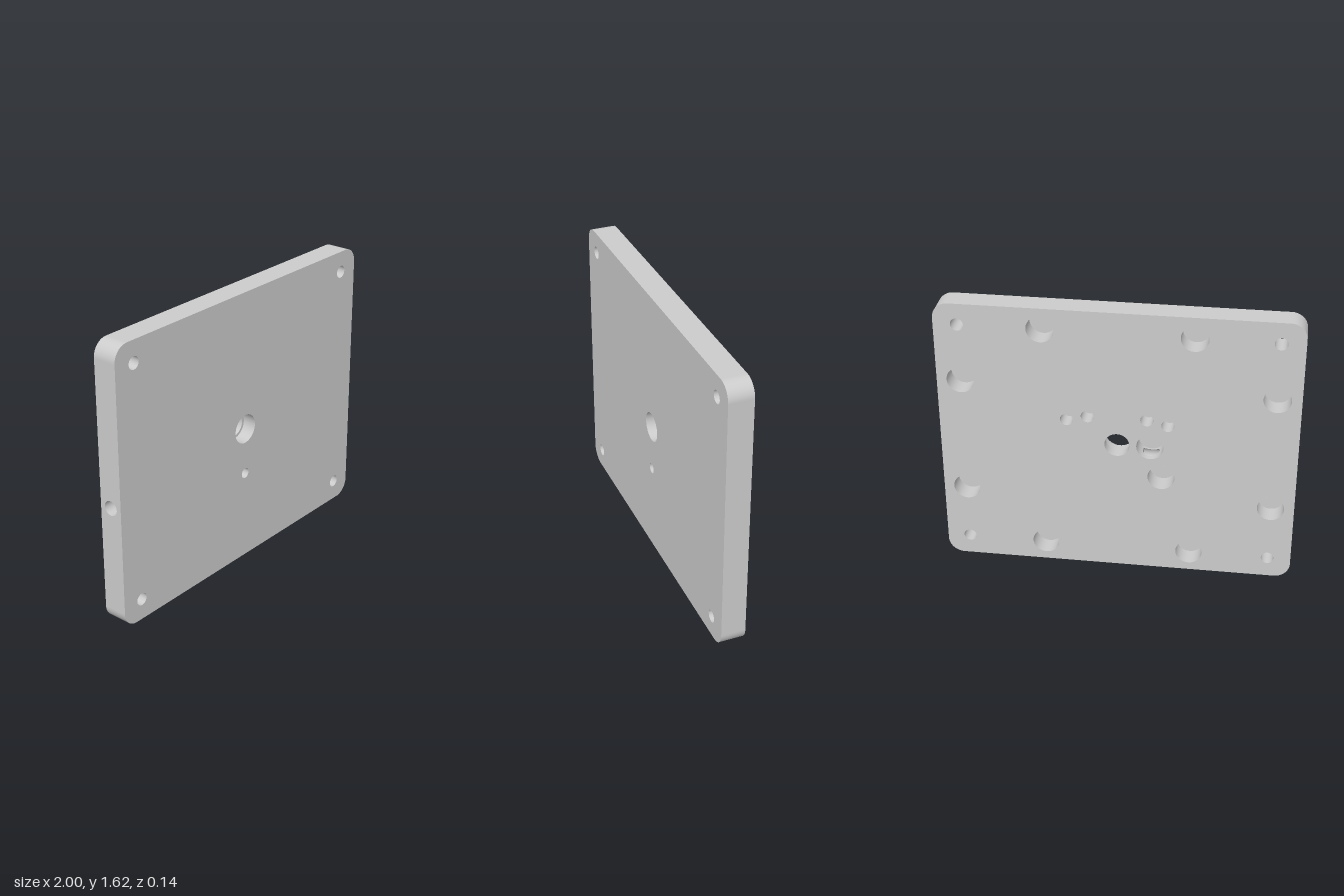
import * as THREE from 'three';

const W = 1, H = 1.615, MID = H / 2, T = 0.07, CORNER = 0.09, SEG = 64;
const material = new THREE.MeshStandardMaterial({ color: 0xcccccc, side: THREE.DoubleSide });

// Ruled surface between two curves, each a function of t in 0..1
function strip(a, b, n = SEG) {
  const pos = [], index = [];
  for (let i = 0; i <= n; i++) {
    pos.push(...a(i / n), ...b(i / n));
    if (i < n) {
      const k = i * 2;
      index.push(k, k + 2, k + 1, k + 1, k + 2, k + 3);
    }
  }
  const g = new THREE.BufferGeometry();
  g.setAttribute('position', new THREE.Float32BufferAttribute(pos, 3));
  g.setIndex(index);
  g.computeVertexNormals();
  return g;
}

function circlePath(x, y, r) {
  return new THREE.Path().absarc(x, y, r, 0, Math.PI * 2, false);
}

// Rounded plate outline with round openings
function plateFace(holes, flip) {
  const s = new THREE.Shape();
  s.absarc(W - CORNER, CORNER, CORNER, -Math.PI / 2, 0);
  s.absarc(W - CORNER, H - CORNER, CORNER, 0, Math.PI / 2);
  s.absarc(-W + CORNER, H - CORNER, CORNER, Math.PI / 2, Math.PI);
  s.absarc(-W + CORNER, CORNER, CORNER, Math.PI, Math.PI * 1.5);
  s.closePath();
  holes.forEach(h => s.holes.push(circlePath(flip * h.x, h.y, h.r)));
  return new THREE.ShapeGeometry(s, SEG).translate(0, 0, T);
}

export function createModel() {
  const group = new THREE.Group();
  const add = (name, geometry) => {
    const m = new THREE.Mesh(geometry, material);
    m.name = name;
    group.add(m);
    return m;
  };

  // Hole layout
  const cornerHoles = [], pockets = [], pinHoles = [];
  for (const sx of [-1, 1]) {
    for (const sy of [-1, 1]) {
      cornerHoles.push({ x: sx * 0.868, y: MID + sy * 0.685, r: 0.036 });
      pockets.push({ x: sx * 0.416, y: MID + sy * 0.685, r: 0.076 });
      pockets.push({ x: sx * 0.868, y: MID + sy * 0.347, r: 0.076 });
    }
    pinHoles.push({ x: sx * 0.281, y: 0.95, r: 0.036 }, { x: sx * 0.165, y: 0.977, r: 0.036 });
  }
  const upperPort = { x: -0.184, y: MID, r: 0.076 };
  const lowerPort = { x: -0.249, y: 0.615, r: 0.076 };
  const ports = [upperPort, lowerPort];
  const bore = { x: 0, y: MID, r: 0.07 }, counterbore = { x: 0, y: MID, r: 0.085 };
  const frontPin = { x: 0, y: 0.53, r: 0.03 };
  const channel = { y: 0.708, r: 0.042, end: -0.14 };
  const pocketFloor = -T + 0.115, pinFloor = -T + 0.1, ledge = -0.01;

  // Plate faces
  add('frontFace', plateFace([...cornerHoles, counterbore, frontPin], 1));
  add('backFace', plateFace([...cornerHoles, ...pockets, ...pinHoles, ...ports, bore], -1).rotateY(Math.PI));

  // Plate edges: three flats, four rounded corners
  const flat = (name, x0, y0, x1, y1) => add(name, strip(
    t => [x0 + (x1 - x0) * t, y0 + (y1 - y0) * t, T],
    t => [x0 + (x1 - x0) * t, y0 + (y1 - y0) * t, -T], 1));
  flat('bottomEdge', W - CORNER, 0, -W + CORNER, 0);
  flat('topEdge', -W + CORNER, H, W - CORNER, H);
  flat('leftEdge', W, H - CORNER, W, CORNER);
  [[1, 0, 3], [1, 1, 0], [-1, 1, 1], [-1, 0, 2]].forEach(([sx, top, q]) => {
    const at = z => t => {
      const a = (q + t) * Math.PI / 2;
      return [sx * (W - CORNER) + CORNER * Math.cos(a),
        (top ? H - CORNER : CORNER) + CORNER * Math.sin(a), z];
    };
    add('roundedCorner', strip(at(-T), at(T), 24));
  });

  // Right edge, pierced by the cross channel
  const edge = new THREE.Shape([[-T, CORNER], [T, CORNER], [T, H - CORNER], [-T, H - CORNER]]
    .map(p => new THREE.Vector2(...p)));
  edge.holes.push(circlePath(0, channel.y, channel.r));
  add('rightEdge', new THREE.ShapeGeometry(edge, SEG).rotateY(-Math.PI / 2).translate(-W, 0, 0));

  // Hole walls; z0 and z1 may vary around the rim
  const wall = (name, h, z0, z1) => {
    const at = z => t => {
      const a = t * Math.PI * 2, y = h.y + h.r * Math.sin(a);
      return [h.x + h.r * Math.cos(a), y, typeof z === 'function' ? z(y) : z];
    };
    add(name, strip(at(z0), at(z1), SEG));
  };
  const floor = (name, h, z, facing) => {
    const g = new THREE.CircleGeometry(h.r, SEG);
    if (facing < 0) g.rotateY(Math.PI);
    add(name, g.translate(h.x, h.y, z));
  };
  cornerHoles.forEach(h => wall('cornerHole', h, -T, T));
  pockets.forEach(h => {
    wall('pocketWall', h, -T, pocketFloor);
    floor('pocketFloor', h, pocketFloor, -1);
  });
  pinHoles.forEach(h => {
    wall('pinHoleWall', h, -T, pinFloor);
    floor('pinHoleFloor', h, pinFloor, -1);
  });
  wall('frontPinHoleWall', frontPin, -pinFloor, T);
  floor('frontPinHoleFloor', frontPin, -pinFloor, 1);

  // Stepped centre bore
  wall('centreBore', bore, -T, ledge);
  wall('centreCounterbore', counterbore, ledge, T);
  add('centreLedge', new THREE.RingGeometry(bore.r, counterbore.r, SEG).translate(0, MID, ledge));

  // Ports opened by the channel
  const half = (r, d) => Math.sqrt(Math.max(0, r * r - d * d));
  ports.forEach(h => {
    wall('portWallOuter', h, -T, y => -half(channel.r, y - channel.y));
    wall('portWallInner', h, y => half(channel.r, y - channel.y), pocketFloor);
    floor('portFloor', h, pocketFloor, -1);
  });

  // Cross channel, interrupted where it meets a port
  const along = xAt => t => {
    const a = t * Math.PI * 2, y = channel.y + channel.r * Math.cos(a);
    const port = y > channel.y ? upperPort : lowerPort;
    return [xAt(port.x, half(port.r, y - port.y)), y, channel.r * Math.sin(a)];
  };
  add('channelOuter', strip(along(() => -W), along((x, h) => x - h), 96));
  add('channelInner', strip(along((x, h) => Math.min(x + h, channel.end)), along(() => channel.end), 96));
  add('channelEnd', new THREE.CircleGeometry(channel.r, SEG).rotateY(-Math.PI / 2)
    .translate(channel.end, channel.y, 0));

  return group;
}
